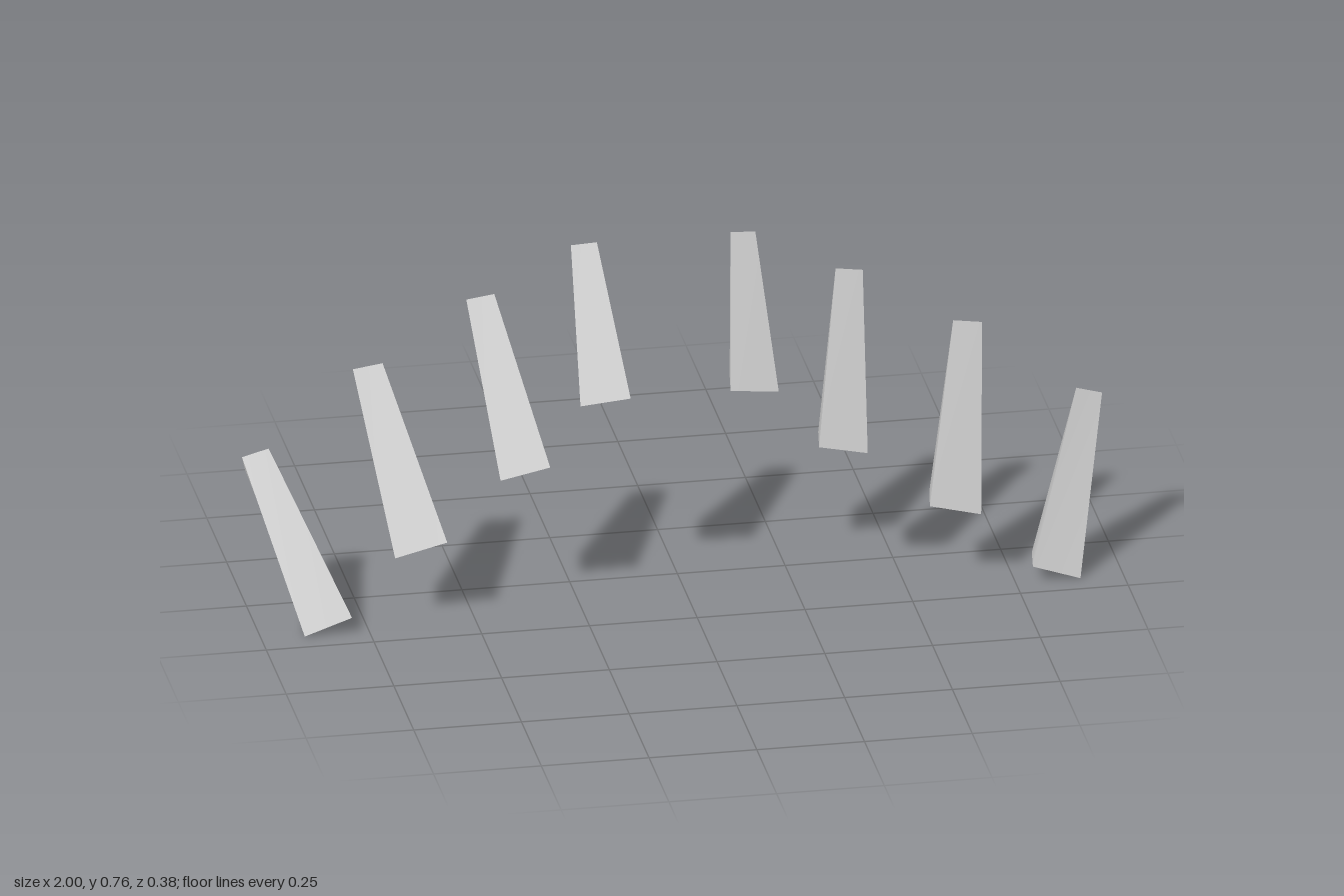
import * as THREE from 'three';
import { toCreasedNormals } from 'three/addons/utils/BufferGeometryUtils.js';

// Front face corners of each spike on the +x side, outermost first
const SPIKES = [
  { bottomInner: [0.79, 0.04, 0.19], bottomOuter: [0.90, 0.003, 0.192], topInner: [0.937, 0.364, -0.063], topOuter: [0.998, 0.345, -0.068] },
  { bottomInner: [0.56, 0.188, 0.141], bottomOuter: [0.68, 0.156, 0.136], topInner: [0.662, 0.53, -0.12], topOuter: [0.73, 0.518, -0.125] },
  { bottomInner: [0.312, 0.334, 0.092], bottomOuter: [0.426, 0.307, 0.085], topInner: [0.396, 0.665, -0.157], topOuter: [0.46, 0.654, -0.162] },
  { bottomInner: [0.116, 0.468, 0.041], bottomOuter: [0.23, 0.452, 0.028], topInner: [0.155, 0.768, -0.173], topOuter: [0.214, 0.762, -0.18] },
];

// Step from the front edge to the back edge at each end
const BACK_STEP = {
  bottom: new THREE.Vector3(0, 0, -0.092),
  top: new THREE.Vector3(0, -0.036, -0.009),
};
const BACK_INSET = 0.13; // the back is narrower than the front

// A box whose eight corners are moved to the tapered spike's corners
function spikeGeometry(spike, side) {
  const geometry = new THREE.BoxGeometry(1, 1, 1);
  const pos = geometry.attributes.position;
  for (let i = 0; i < pos.count; i++) {
    const end = pos.getY(i) > 0 ? 'top' : 'bottom';
    const outer = pos.getX(i) * side > 0;
    const inP = new THREE.Vector3(...spike[end + 'Inner']);
    const outP = new THREE.Vector3(...spike[end + 'Outer']);
    const back = pos.getZ(i) < 0;
    const inset = back ? BACK_INSET : 0;
    const p = inP.lerp(outP, outer ? 1 - inset : inset);
    if (back) p.add(BACK_STEP[end]);
    pos.setXYZ(i, p.x * side, p.y, p.z);
  }
  return toCreasedNormals(geometry, THREE.MathUtils.degToRad(70));
}

export function createModel() {
  const model = new THREE.Group();
  model.name = 'spikeArch';
  const material = new THREE.MeshStandardMaterial({ color: 0xcccccc });

  // Four spikes on each side, mirrored across the middle
  for (const [side, label] of [[1, 'left'], [-1, 'right']]) {
    const row = new THREE.Group();
    row.name = label + 'Spikes';
    SPIKES.forEach((spike, i) => {
      const mesh = new THREE.Mesh(spikeGeometry(spike, side), material);
      mesh.name = `${label}Spike${i + 1}`;
      row.add(mesh);
    });
    model.add(row);
  }
  return model;
}
